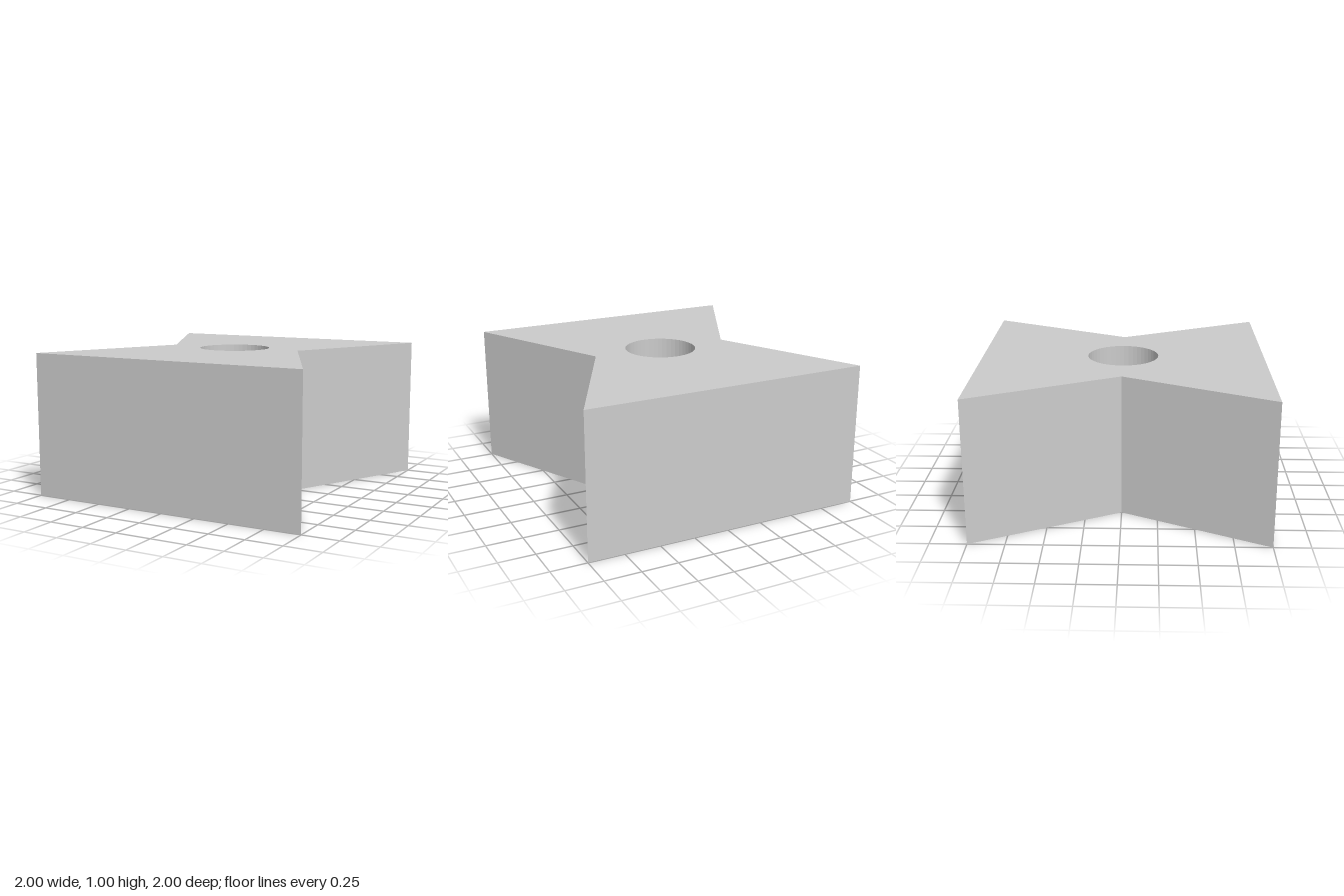
import * as THREE from 'three';

export function createModel() {
  const group = new THREE.Group();
  group.name = 'waistedBlock';

  // Bow-tie outline, pinched to half width in the middle
  const outline = new THREE.Shape([
    [-1, -1], [1, -1], [0.5, 0], [1, 1], [-1, 1], [-0.5, 0],
  ].map(([x, y]) => new THREE.Vector2(x, y)));

  // Round bore straight through the centre
  const bore = new THREE.Path();
  bore.absarc(0, 0, 0.25, 0, Math.PI * 2, true);
  outline.holes.push(bore);

  // Extruded upwards from the ground
  const geometry = new THREE.ExtrudeGeometry(outline, {
    depth: 1, bevelEnabled: false, curveSegments: 24,
  });
  geometry.rotateX(-Math.PI / 2);

  const block = new THREE.Mesh(
    geometry,
    new THREE.MeshStandardMaterial({ color: 0xcccccc, flatShading: true }),
  );
  block.name = 'blockWithBore';
  group.add(block);
  return group;
}
